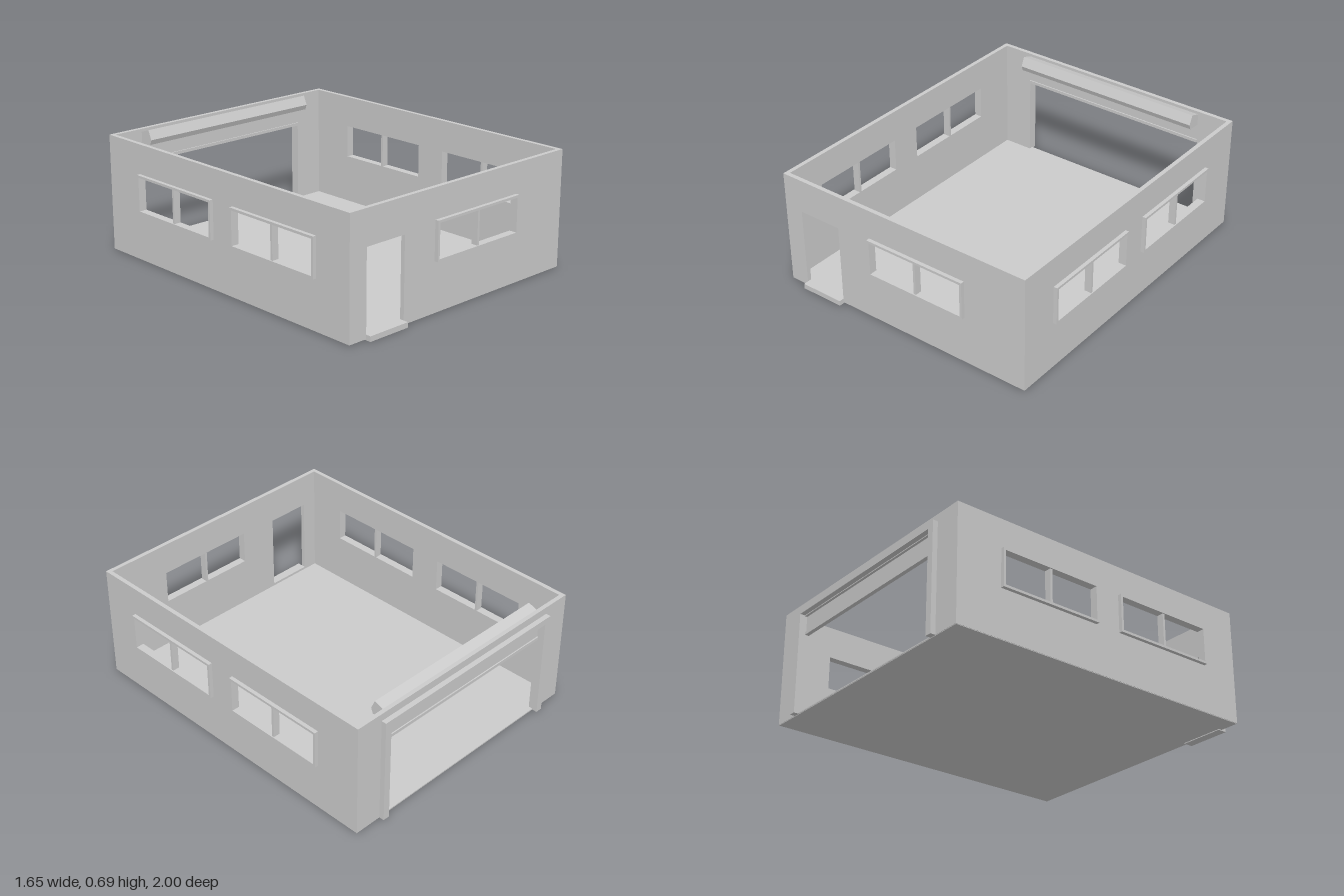
import * as THREE from 'three';

const mat = new THREE.MeshStandardMaterial({ color: 0xcccccc, flatShading: true });
const HX = 0.805, HZ = 0.97, BASE = 0.008, TOP = 0.685, T = 0.025;

function add(parent, name, geometry) {
  const mesh = new THREE.Mesh(geometry, mat);
  mesh.name = name;
  parent.add(mesh);
  return mesh;
}

// Box given by its minimum and maximum corners
function box(parent, name, x0, x1, y0, y1, z0, z1) {
  const mesh = add(parent, name, new THREE.BoxGeometry(x1 - x0, y1 - y0, z1 - z0));
  mesh.position.set((x0 + x1) / 2, (y0 + y1) / 2, (z0 + z1) / 2);
  return mesh;
}

function rect(Type, x0, x1, y0, y1) {
  return new Type([[x0, y0], [x1, y0], [x1, y1], [x0, y1]].map(p => new THREE.Vector2(...p)));
}

// Upright plate with rectangular holes, between depths z0 and z1
function plate(parent, name, outer, holes, z0, z1) {
  const shape = rect(THREE.Shape, ...outer);
  holes.forEach(h => shape.holes.push(rect(THREE.Path, ...h)));
  const g = new THREE.ExtrudeGeometry(shape, { depth: z1 - z0, bevelEnabled: false });
  g.translate(0, 0, z0);
  return add(parent, name, g);
}

// One wall whose outer face lies at local z = 0, with its openings and window trims
function wall(parent, name, halfWidth, windows, openings, angle, distance) {
  const group = new THREE.Group();
  group.name = name;
  const b = 0.014, y0 = 0.29, y1 = 0.513;
  const inner = windows.map(([a, c]) => [a + b, c - b, y0 + b, y1 - b]);
  plate(group, name + 'Panel', [-halfWidth, halfWidth, BASE, TOP], [...inner, ...openings], -T, 0);
  windows.forEach(([a, c, m], i) => {
    plate(group, 'windowFrame', [a, c, y0, y1], [inner[i]], 0, 0.022);
    box(group, 'windowMullion', m - 0.007, m + 0.007, y0 + b, y1 - b, -T, 0.016);
  });
  group.rotation.y = angle;
  group.position.set(Math.sin(angle) * distance, 0, Math.cos(angle) * distance);
  parent.add(group);
  return group;
}

export function createModel() {
  const model = new THREE.Group();
  model.name = 'garage';

  // Floor slab
  box(model, 'floor', -HX + 0.002, HX - 0.002, 0.005, 0.015, -HZ + 0.002, HZ - 0.002);

  // Walls
  wall(model, 'frontWall', HX, [[-0.205, 0.425, 0.11]], [[-0.69, -0.425, 0.015, 0.487]], 0, HZ);
  wall(model, 'leftWall', HZ - T, [[-0.735, -0.1, -0.42], [0.06, 0.695, 0.38]], [], Math.PI / 2, HX);
  wall(model, 'rightWall', HZ - T, [[0.1, 0.735, 0.42], [-0.695, -0.06, -0.38]], [], -Math.PI / 2, HX);
  wall(model, 'backWall', HX, [], [[-0.6, 0.6, 0.015, 0.6]], Math.PI, HZ);

  // Entrance step
  box(model, 'doorStep', -0.69, -0.425, 0, 0.03, 0.945, 1);

  // Trim around the vehicle opening
  for (const s of [-1, 1]) {
    const post = box(model, 'gatePost', -0.02, 0.02, BASE, 0.605, -1, -HZ);
    post.position.x = s * 0.62;
  }
  box(model, 'gateHeader', -0.64, 0.64, 0.605, 0.642, -1, -HZ);

  // Partly lowered shutter with its bottom bar
  box(model, 'shutter', -0.6, 0.6, 0.49, 0.62, -0.955, -0.945);
  box(model, 'shutterBar', -0.6, 0.6, 0.487, 0.505, -0.962, -0.938);

  // Faceted shutter housing along the top of the back wall
  const profile = [[0.945, 0.6], [0.945, 0.668], [0.88, 0.69], [0.856, 0.635], [0.868, 0.605]];
  const shape = new THREE.Shape(profile.map(p => new THREE.Vector2(...p)));
  const housing = new THREE.ExtrudeGeometry(shape, { depth: 1.195, bevelEnabled: false });
  housing.rotateY(Math.PI / 2);
  housing.translate(-0.6, 0, 0);
  add(model, 'shutterHousing', housing);

  return model;
}
